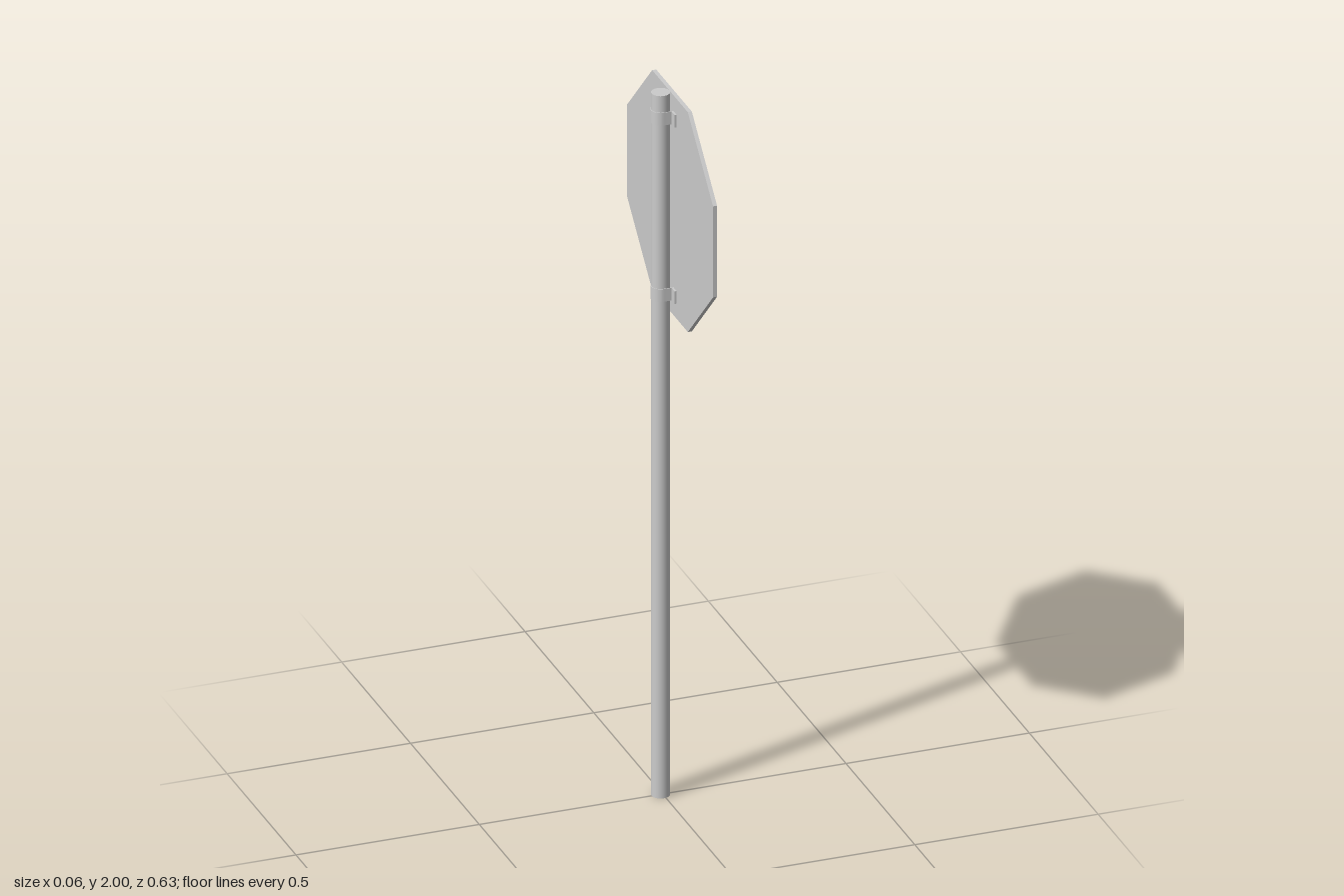
import * as THREE from 'three';

const POLE_X = -0.0055, POLE_R = 0.0245;

export function createModel() {
  const model = new THREE.Group();
  model.name = 'octagonalRoadSign';
  const smooth = new THREE.MeshStandardMaterial({ color: 0xcccccc });
  const flat = new THREE.MeshStandardMaterial({ color: 0xcccccc, flatShading: true });
  const add = (name, geometry, material, x, y, z = 0) => {
    const mesh = new THREE.Mesh(geometry, material);
    mesh.name = name;
    mesh.position.set(x, y, z);
    model.add(mesh);
  };

  // Round post
  add('pole', new THREE.CylinderGeometry(POLE_R, POLE_R, 2, 32), smooth, POLE_X, 1);

  // Octagonal plate facing +x, with level top and bottom edges
  const apothem = 0.313;
  const radius = apothem / Math.cos(Math.PI / 8);
  const plate = new THREE.CylinderGeometry(radius, radius, 0.011, 8)
    .rotateY(Math.PI / 8)
    .rotateZ(-Math.PI / 2);
  add('signPlate', plate, flat, 0.0255, 1.685);

  // U-shaped strap around the post, with a flange on each side against the plate
  const inner = 0.0245, outer = 0.0265, flange = 0.048;
  const back = 0.0145 - POLE_X, front = 0.02 - POLE_X;
  const strap = new THREE.Shape();
  strap.moveTo(front, flange);
  strap.lineTo(back, flange);
  strap.lineTo(back, outer);
  strap.lineTo(0, outer);
  strap.absarc(0, 0, outer, Math.PI / 2, Math.PI * 1.5, false);
  strap.lineTo(back, -outer);
  strap.lineTo(back, -flange);
  strap.lineTo(front, -flange);
  strap.lineTo(front, -inner);
  strap.lineTo(0, -inner);
  strap.absarc(0, 0, inner, Math.PI * 1.5, Math.PI / 2, true);
  strap.lineTo(front, inner);
  strap.closePath();
  const height = 0.036;
  const strapGeometry = new THREE.ExtrudeGeometry(strap, {
    depth: height, bevelEnabled: false, curveSegments: 20,
  }).translate(0, 0, -height / 2).rotateX(-Math.PI / 2);
  add('upperClamp', strapGeometry, smooth, POLE_X, 1.935);
  add('lowerClamp', strapGeometry, smooth, POLE_X, 1.433);

  return model;
}
